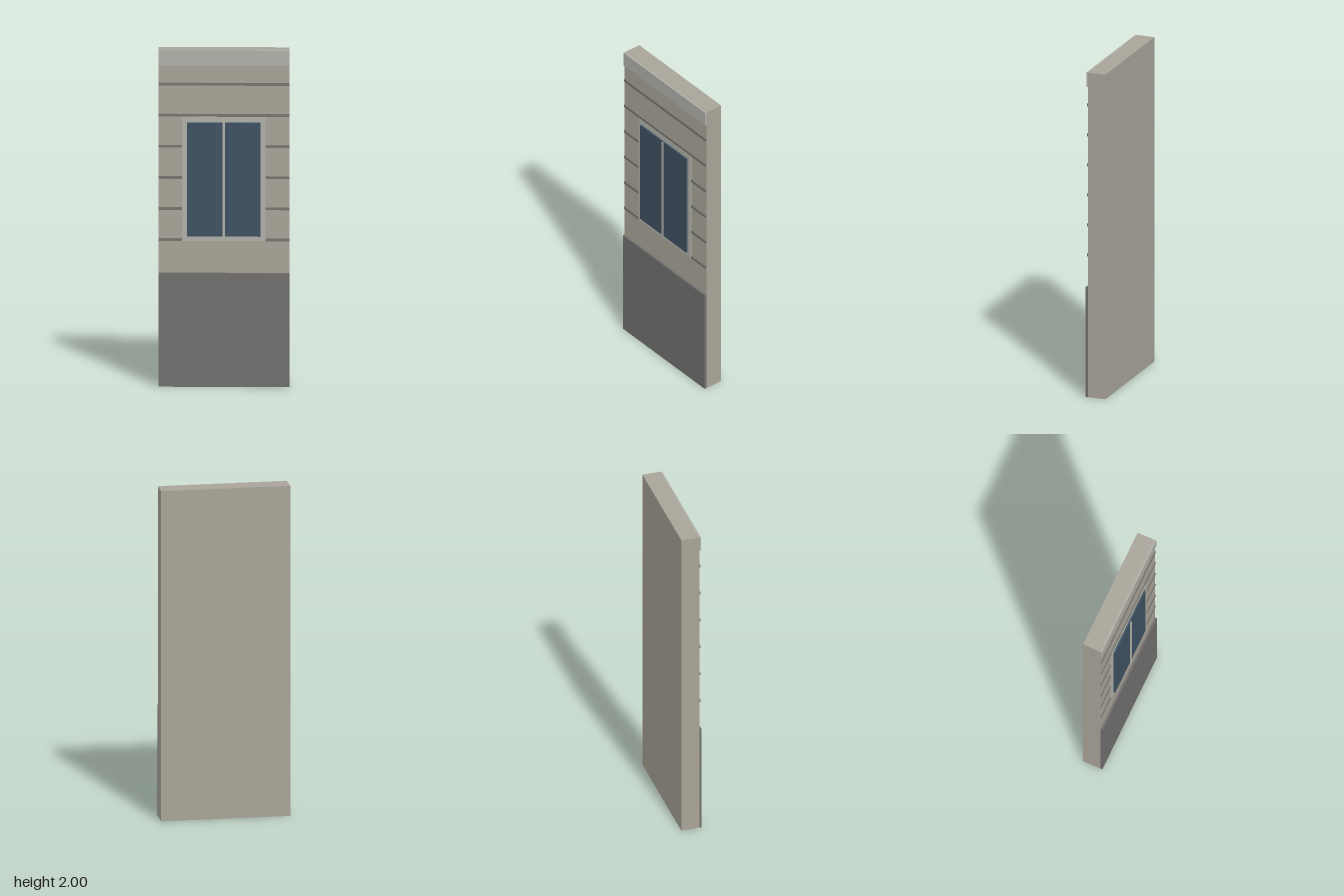
import * as THREE from 'three';

const WIDTH = 0.767;
const BACK = -0.068;
const FACE = 0.043; // front plane of the wall

const paint = (color) => new THREE.MeshStandardMaterial({ color });

// Box given by its extents on each axis
function block(name, material, [x0, x1], [y0, y1], [z0, z1]) {
  const mesh = new THREE.Mesh(new THREE.BoxGeometry(x1 - x0, y1 - y0, z1 - z0), material);
  mesh.name = name;
  mesh.position.set((x0 + x1) / 2, (y0 + y1) / 2, (z0 + z1) / 2);
  return mesh;
}

export function createModel() {
  const model = new THREE.Group();
  model.name = 'facadePanel';

  const stone = paint(0xa8a498);
  const trim = paint(0xb0b0aa);
  const base = paint(0x706f6d);
  const groove = paint(0x75736c);
  const glass = paint(0x3e5162);
  const half = WIDTH / 2;
  const full = [-half, half];

  // Wall slab, plinth and cornice
  model.add(block('wall', stone, full, [0, 2], [BACK, FACE]));
  model.add(block('plinth', base, full, [0, 0.677], [FACE, 0.056]));
  model.add(block('cornice', trim, full, [1.91, 2], [FACE, 0.052]));

  // Horizontal courses, interrupted by the window
  const courses = new THREE.Group();
  courses.name = 'courses';
  for (let i = 0; i < 6; i++) {
    const y = 1.799 - i * 0.185;
    const rows = [y - 0.008, y + 0.008];
    const spans = i < 2 ? [full] : [[-half, -0.245], [0.245, half]];
    for (const span of spans) courses.add(block('course', groove, span, rows, [FACE, 0.049]));
  }
  model.add(courses);

  // Window: surround, glazing and centre mullion
  const win = new THREE.Group();
  win.name = 'window';
  win.add(block('windowFrame', trim, [-0.245, 0.245], [0.867, 1.606], [FACE, 0.051]));
  win.add(block('glazing', glass, [-0.215, 0.215], [0.895, 1.573], [0.051, 0.061]));
  win.add(block('mullion', trim, [-0.006, 0.006], [0.895, 1.573], [0.061, 0.068]));
  model.add(win);

  return model;
}
